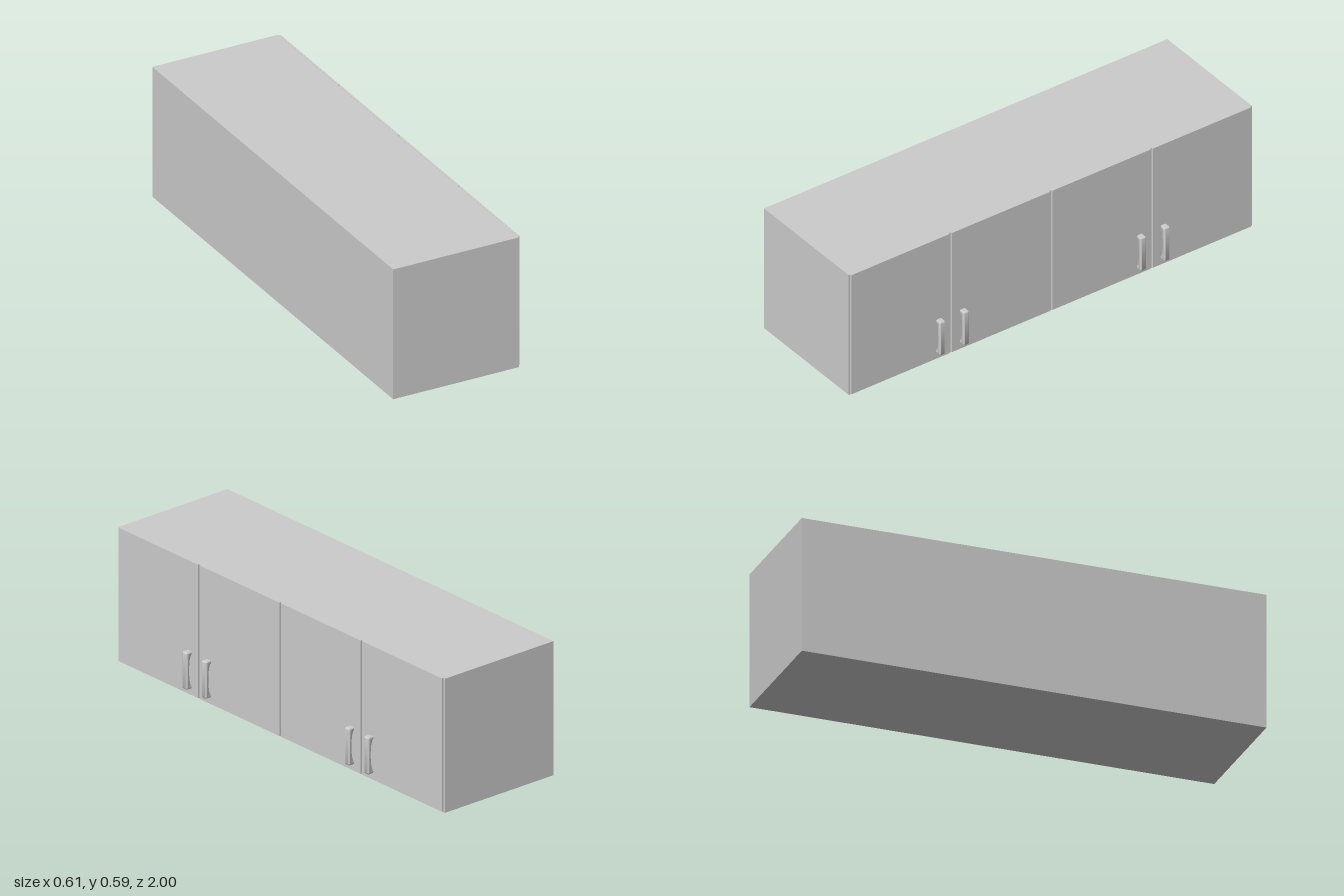
import * as THREE from 'three';
import { toCreasedNormals } from 'three/addons/utils/BufferGeometryUtils.js';

const BACK = -0.305, CASE_FRONT = 0.27, DOOR_FRONT = 0.278, HANDLE_FRONT = 0.305;
const HEIGHT = 0.587;

// Side profile of a pull handle (x outward, y up), rounded by the bevel
function handleGeometry() {
  const low = 0.032, high = 0.195, root = 0.27, r = 0.008, width = 0.028, bevel = 0.0065;
  const s = new THREE.Shape();
  s.moveTo(root, low);
  s.lineTo(HANDLE_FRONT - r, low);
  s.quadraticCurveTo(HANDLE_FRONT, low, HANDLE_FRONT, low + r);
  s.lineTo(HANDLE_FRONT, high - r);
  s.quadraticCurveTo(HANDLE_FRONT, high, HANDLE_FRONT - r, high);
  s.lineTo(root, high);
  s.lineTo(root, high - 0.017);
  s.lineTo(DOOR_FRONT, high - 0.017);
  // bowed inner edge of the grip
  s.bezierCurveTo(0.2915, 0.166, 0.2915, 0.061, DOOR_FRONT, low + 0.017);
  s.lineTo(root, low + 0.017);
  s.closePath();
  const g = new THREE.ExtrudeGeometry(s, {
    depth: width - 2 * bevel, bevelEnabled: true, bevelThickness: bevel,
    bevelSize: bevel, bevelOffset: -bevel, bevelSegments: 5, curveSegments: 12,
  });
  g.translate(0, 0, -width / 2 + bevel);
  return toCreasedNormals(g, Math.PI / 4);
}

export function createModel() {
  const group = new THREE.Group();
  const material = new THREE.MeshStandardMaterial({ color: 0xcccccc });

  function add(name, geometry, x, y, z) {
    const mesh = new THREE.Mesh(geometry, material);
    mesh.name = name;
    mesh.position.set(x, y, z);
    group.add(mesh);
  }

  // Closed cabinet case
  add('cabinetCase', new THREE.BoxGeometry(CASE_FRONT - BACK, HEIGHT, 2),
    (BACK + CASE_FRONT) / 2, HEIGHT / 2, 0);

  // Four doors separated by narrow gaps
  const gap = 0.01, pitch = 0.4985, doorHeight = HEIGHT - 0.003;
  const doorGeometry = new THREE.BoxGeometry(DOOR_FRONT - CASE_FRONT, doorHeight, pitch - gap);
  for (let i = 0; i < 4; i++) {
    add(`door${i + 1}`, doorGeometry, (CASE_FRONT + DOOR_FRONT) / 2,
      0.004 + doorHeight / 2, 0.997 - pitch * (i + 0.5) + 0.001);
  }

  // Two pairs of handles, one on each side of a door gap
  const handle = handleGeometry();
  [0.558, 0.44, -0.438, -0.556].forEach((z, i) => add(`handle${i + 1}`, handle, 0, 0, z));

  return group;
}
